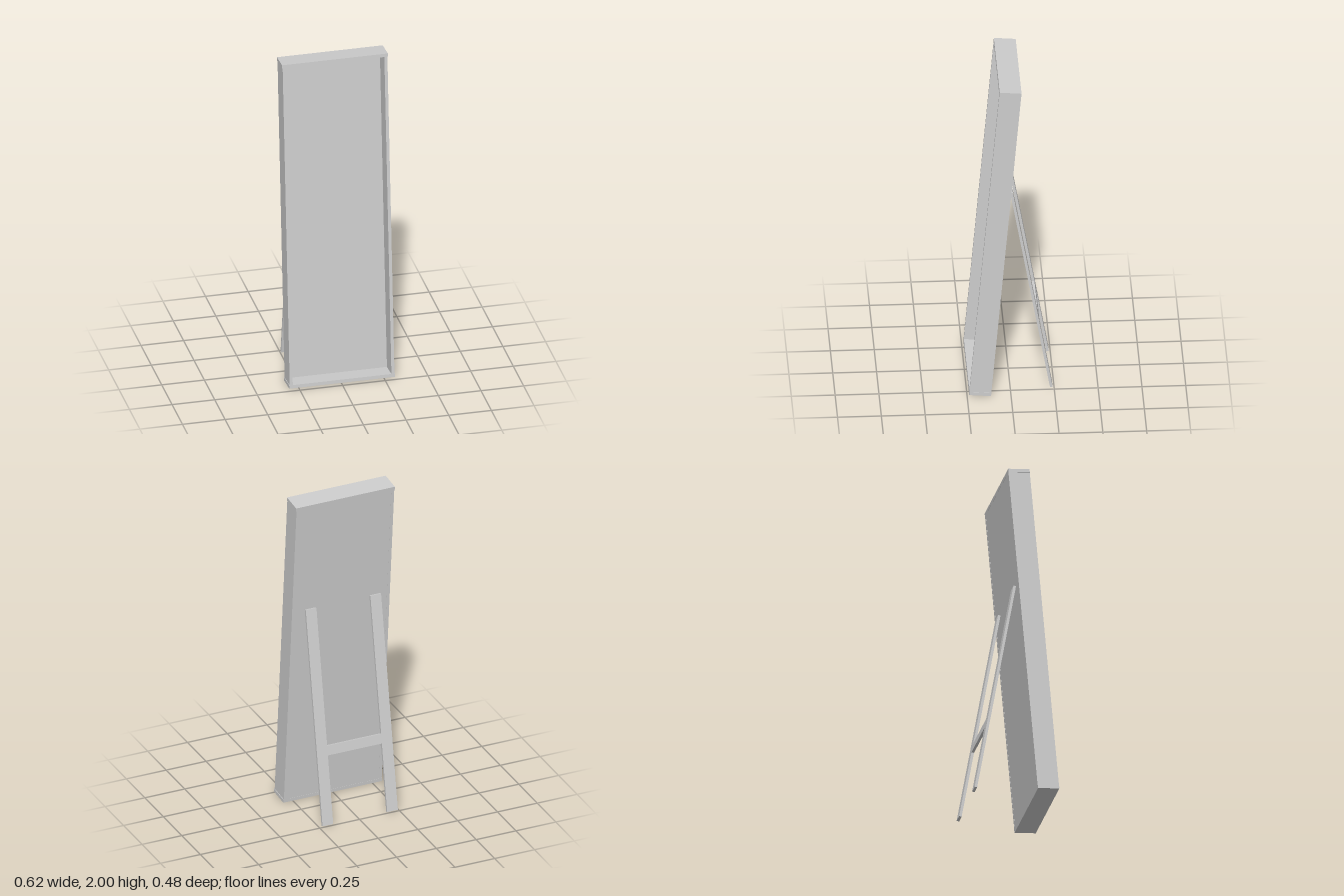
import * as THREE from 'three';

const material = new THREE.MeshStandardMaterial({ color: 0xcccccc });

function board(parent, name, size, position) {
  const mesh = new THREE.Mesh(new THREE.BoxGeometry(...size), material);
  mesh.name = name;
  mesh.position.set(...position);
  parent.add(mesh);
}

export function createModel() {
  const model = new THREE.Group();
  model.name = 'standingMirror';

  // Box frame with the mirror panel at its back, leaning backwards
  const W = 0.62, H = 1.997, D = 0.125, T = 0.02;
  const frame = new THREE.Group();
  frame.name = 'mirrorFrame';
  frame.position.set(0, 1, 0.089);
  frame.rotation.x = -THREE.MathUtils.degToRad(5);
  model.add(frame);

  board(frame, 'topBoard', [W, T, D], [0, (H - T) / 2, 0]);
  board(frame, 'bottomBoard', [W, T, D], [0, -(H - T) / 2, 0]);
  for (const [side, name] of [[1, 'leftBoard'], [-1, 'rightBoard']]) {
    board(frame, name, [0.018, H - 2 * T, D], [side * 0.298, 0, 0]);
  }
  const panelDepth = 0.015;
  board(frame, 'mirrorPanel', [0.578, H - 2 * T, panelDepth],
    [0, 0, -D / 2 + panelDepth / 2 + 0.001]);

  // Rear support: two legs joined by a crossbar, leaning forwards
  const legLength = 1.307, legWidth = 0.067, legDepth = 0.015;
  const support = new THREE.Group();
  support.name = 'rearSupport';
  support.position.set(-0.008, 0.645, -0.121);
  support.rotation.x = THREE.MathUtils.degToRad(10);
  model.add(support);

  for (const [side, name] of [[1, 'leftLeg'], [-1, 'rightLeg']]) {
    board(support, name, [legWidth, legLength, legDepth], [side * 0.203, 0, 0]);
  }
  board(support, 'crossbar', [0.339, 0.058, legDepth], [0, -0.21, 0]);

  return model;
}
